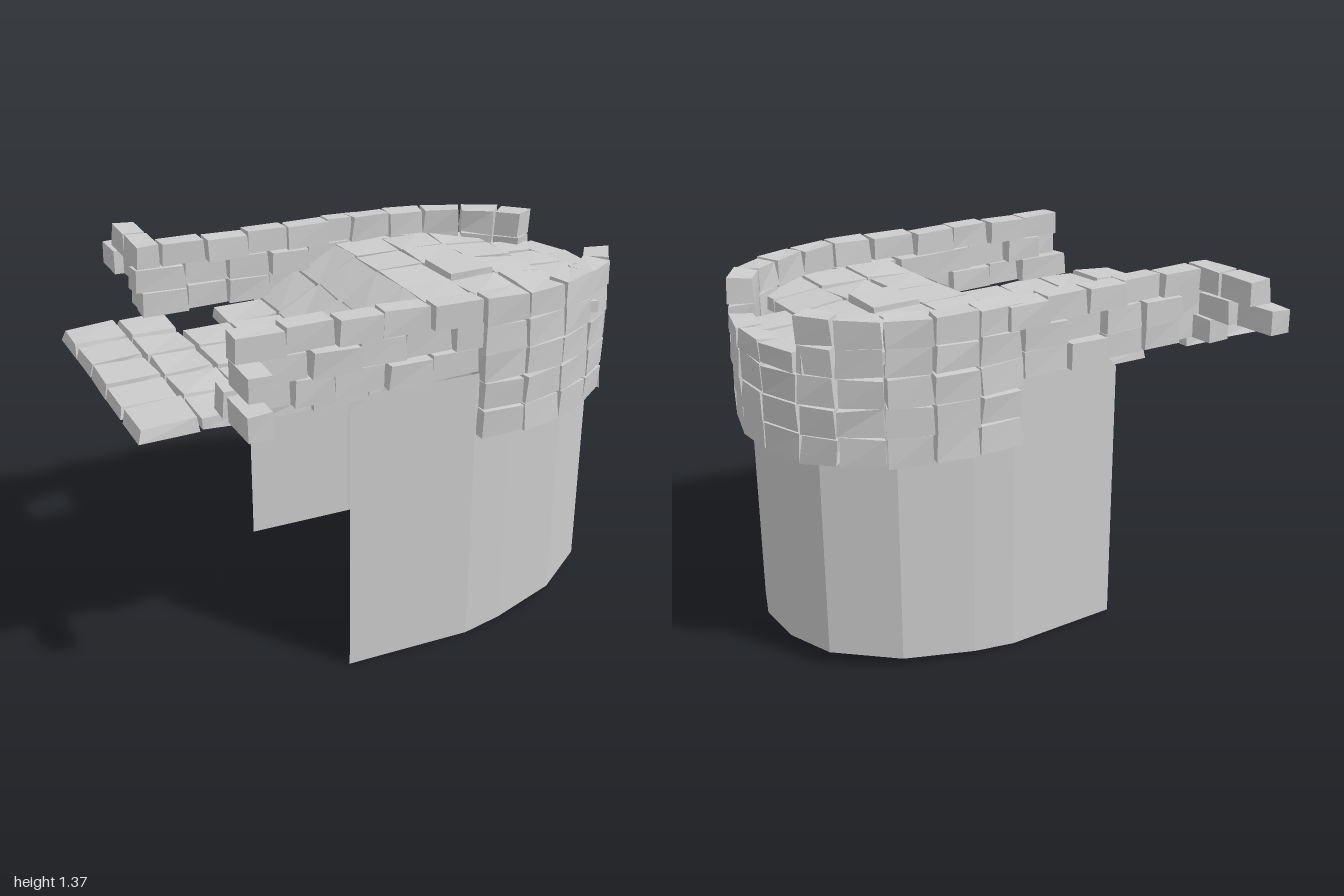
import * as THREE from 'three';

const stone = new THREE.MeshStandardMaterial({ color: 0xcccccc, flatShading: true });
const shellMat = new THREE.MeshStandardMaterial({ color: 0xcccccc, flatShading: true, side: THREE.DoubleSide });

let seed = 7;
const rand = () => {
  seed = (seed * 16807) % 2147483647;
  return seed / 2147483647 - 0.5;
};

// Hewn block: a box bent onto four top corners [x, y, z] and given a height,
// with a slight taper at the top and uneven corners
function block(name, [a, b, c, d], height, taper = 0.03, jitter = 0.008) {
  const geo = new THREE.BoxGeometry(1, 1, 1);
  const p = geo.attributes.position;
  const offsets = Array.from({ length: 8 }, () => [rand() * jitter, rand() * jitter, rand() * jitter]);
  for (let i = 0; i < p.count; i++) {
    const top = p.getY(i) > 0;
    const key = (p.getX(i) > 0 ? 1 : 0) + (top ? 2 : 0) + (p.getZ(i) > 0 ? 4 : 0);
    const s = top ? 1 - 2 * taper : 1;
    const u = p.getX(i) * s + 0.5, v = p.getZ(i) * s + 0.5;
    const q = [0, 1, 2].map((k) =>
      (a[k] * (1 - u) + b[k] * u) * (1 - v) + (d[k] * (1 - u) + c[k] * u) * v + offsets[key][k]);
    p.setXYZ(i, q[0], q[1] - (top ? 0 : height), q[2]);
  }
  geo.computeVertexNormals();
  const mesh = new THREE.Mesh(geo, stone);
  mesh.name = name;
  return mesh;
}

// Block over an x/z rectangle; the top may slope from yA (low x) to yB (high x)
const slab = (name, x0, x1, z0, z1, yA, yB, height, taper, jitter) =>
  block(name, [[x0, yA, z0], [x1, yB, z0], [x1, yB, z1], [x0, yA, z1]], height, taper, jitter);

// Thin U-shaped tower skin, open at the bridge side
function towerShell() {
  const path = [[-0.28, 0.625], [-0.2, 0.625], [0.21, 0.63], [0.37, 0.605], [0.64, 0.53], [0.86, 0.38], [0.93, 0.2],
    [0.93, 0], [0.86, -0.18], [0.64, -0.34], [0.37, -0.41], [0.21, -0.43], [-0.2, -0.43], [-0.245, -0.43]];
  const pos = [], index = [];
  path.forEach(([x, z], i) => {
    const low = 0.065 * Math.pow(Math.max(0, (x - 0.21) / 0.72), 1.15);
    const high = x < -0.21 ? 1.03 : 1.08;
    pos.push(x, low, z, x, high, z);
    if (i) {
      const k = 2 * i;
      index.push(k - 2, k, k - 1, k, k + 1, k - 1);
    }
  });
  const geo = new THREE.BufferGeometry();
  geo.setAttribute('position', new THREE.Float32BufferAttribute(pos, 3));
  geo.setIndex(index);
  geo.computeVertexNormals();
  const mesh = new THREE.Mesh(geo, shellMat);
  mesh.name = 'towerShell';
  return mesh;
}

// Five curved courses of stones round the end of the tower
function roundCourses() {
  const group = new THREE.Group();
  group.name = 'roundCourses';
  const outer = [[0.21, 0.67], [0.385, 0.675], [0.555, 0.64], [0.715, 0.57], [0.85, 0.475], [0.94, 0.34], [0.985, 0.16],
    [0.985, -0.02], [0.935, -0.19], [0.85, -0.305], [0.715, -0.405], [0.555, -0.465], [0.385, -0.485], [0.21, -0.485]];
  const n = outer.length;
  const inner = outer.map(([x, z], i) => {
    const p = outer[Math.max(0, i - 1)], q = outer[Math.min(n - 1, i + 1)];
    const dx = q[0] - p[0], dz = q[1] - p[1], l = Math.hypot(dx, dz);
    return [x + (dz / l) * 0.095, z - (dx / l) * 0.095];
  });
  const rows = [[0.845, 0.948], [0.952, 1.053], [1.06, 1.162], [1.168, 1.267], [1.27, 1.365]];
  rows.forEach(([y0, y1], r) => {
    for (let i = 0; i < n - 1; i++) {
      const gap = i >= 5 && i <= 7;
      if (r === 4 && gap) continue;
      const top = r === 3 && gap ? 1.238 : y1;
      const mix = (p, q, t) => [p[0] + (q[0] - p[0]) * t, top, p[1] + (q[1] - p[1]) * t];
      group.add(block('courseStone', [mix(inner[i], inner[i + 1], 0.02), mix(inner[i], inner[i + 1], 0.98),
        mix(outer[i], outer[i + 1], 0.98), mix(outer[i], outer[i + 1], 0.02)], top - y0, 0.02, 0.012));
    }
  });
  // Deep stones behind the opening in the top course
  [[-0.215, -0.085], [-0.08, 0.09], [0.095, 0.265]].forEach(([z0, z1]) =>
    group.add(slab('sillStone', 0.75, 0.925, z0, z1, 1.24, 1.235, 0.07)));
  return group;
}

// Straight parapets in running bond, each ending in a stepped return
function parapets() {
  const group = new THREE.Group();
  group.name = 'parapets';
  const levels = [[1.09, 1.18], [1.183, 1.272], [1.275, 1.363]];
  const front = [
    [-0.73, -0.49, -0.34, -0.15, 0.02, 0.21],
    [-0.6, -0.43, -0.25, -0.07, 0.11, 0.22],
    [-0.69, -0.51, -0.33, -0.16, 0.02, 0.21]];
  const back = [
    [-0.69, -0.5, -0.33, -0.15, 0.02, 0.21],
    [-0.71, -0.5, -0.32, -0.15, 0.02, 0.21],
    [-0.595, -0.415, -0.24, -0.07, 0.11, 0.28]];
  const wobble = [0, -0.022, 0.006, -0.008, 0.02];
  [[front, 0.595, 1], [back, -0.44, -1]].forEach(([rows, zMid, side]) => rows.forEach((joints, r) => {
    const [y0, y1] = levels[r];
    for (let i = 0; i < joints.length - 1; i++) {
      const z = zMid + side * wobble[(i + 2 * r + 1) % 5];
      group.add(slab('parapetStone', joints[i] + 0.003, joints[i + 1] - 0.003, z - 0.043, z + 0.043, y1, y1, y1 - y0, 0.02));
    }
  }));
  // Returns: [level, x0, x1, z0, z1]
  [[0, -0.725, -0.635, 0.65, 0.83], [1, -0.69, -0.6, 0.57, 0.75], [2, -0.69, -0.6, -0.575, -0.4],
    [2, -0.69, -0.6, -0.745, -0.58], [1, -0.715, -0.625, -0.83, -0.655], [1, -0.675, -0.585, -0.65, -0.49],
    [0, -0.675, -0.585, -0.56, -0.4]].forEach(([l, x0, x1, z0, z1]) =>
    group.add(slab('returnStone', x0, x1, z0, z1, levels[l][1], levels[l][1], 0.09, 0.02)));
  return group;
}

// Paving: low bridge deck, a two-tile ramp and the upper platform
function paving() {
  const group = new THREE.Group();
  group.name = 'paving';
  // Columns: [x0, x1, top at x0, top at x1]
  const columns = [[-0.995, -0.79, 1.075, 1.085], [-0.785, -0.595, 1.08, 1.08], [-0.59, -0.395, 1.08, 1.075],
    [-0.39, -0.19, 1.075, 1.08], [-0.185, -0.02, 1.08, 1.175], [-0.015, 0.145, 1.175, 1.265],
    [0.145, 0.34, 1.265, 1.27], [0.345, 0.54, 1.265, 1.265], [0.545, 0.745, 1.265, 1.25]];
  const rows = [-0.425, -0.222, -0.022, 0.18, 0.375, 0.572];
  columns.forEach(([x0, x1, yA, yB], c) => {
    for (let r = 0; r < 5; r++) {
      if (c === 2 && r === 0) continue; // missing tile
      const lift = c === 7 && r === 2 ? 0.018 : 0;
      const z0 = c === 8 && r === 0 ? -0.38 : rows[r];
      const gap = c < 2 ? 0.004 : 0.002;
      group.add(slab('floorTile', x0, x1, z0 + gap, rows[r + 1] - gap,
        yA + lift, yB + lift, 0.045, c < 2 ? 0.045 : 0.012, 0.012));
    }
  });
  return group;
}

export function createModel() {
  seed = 7;
  const model = new THREE.Group();
  model.name = 'stoneTower';
  model.add(towerShell(), roundCourses(), parapets(), paving());
  return model;
}
